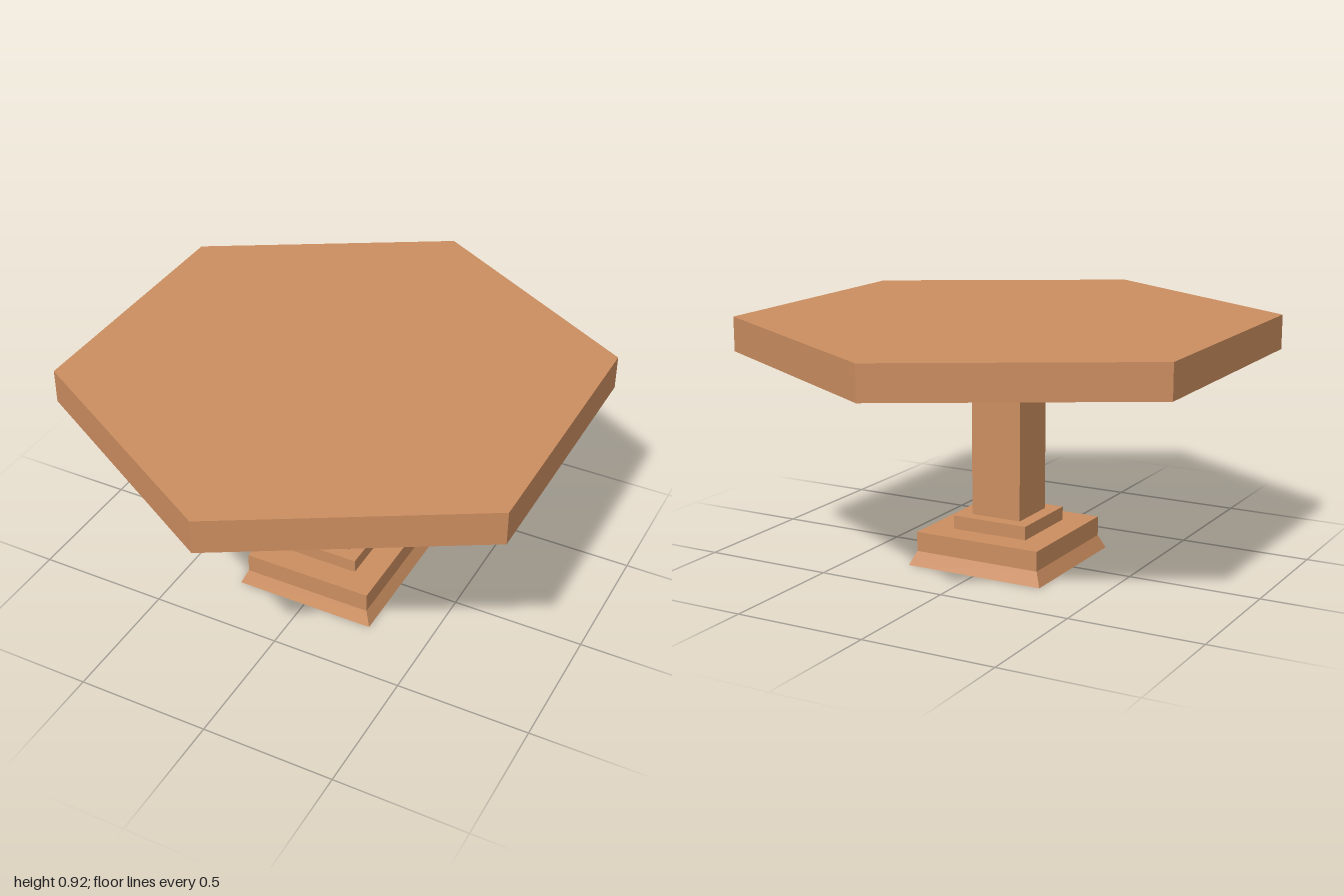
import * as THREE from 'three';

const wood = new THREE.MeshStandardMaterial({ color: 0xcc8e60, flatShading: true });

function addPart(group, name, geometry, y0, y1) {
  const mesh = new THREE.Mesh(geometry, wood);
  mesh.name = name;
  mesh.position.y = (y0 + y1) / 2;
  group.add(mesh);
}

// Square block between two heights, with its own half width at top and bottom
function addSquare(group, name, halfBottom, halfTop, y0, y1, open = false) {
  const k = Math.SQRT2;
  const geometry = new THREE.CylinderGeometry(halfTop * k, halfBottom * k, y1 - y0, 4, 1, open, Math.PI / 4);
  addPart(group, name, geometry, y0, y1);
}

export function createModel() {
  const table = new THREE.Group();
  table.name = 'hexagonalTable';

  // Stepped foot with a flared skirt
  addSquare(table, 'footSkirt', 0.273, 0.25, 0, 0.052);
  addSquare(table, 'footBlock', 0.25, 0.25, 0.052, 0.126);
  addSquare(table, 'footStep', 0.15, 0.15, 0.126, 0.177);

  // Square column
  addSquare(table, 'column', 0.1, 0.1, 0.177, 0.79);

  // Six-sided top, with corners pointing to the front and back
  addPart(table, 'tableTop', new THREE.CylinderGeometry(1, 1, 0.128, 6), 0.79, 0.918);

  return table;
}
